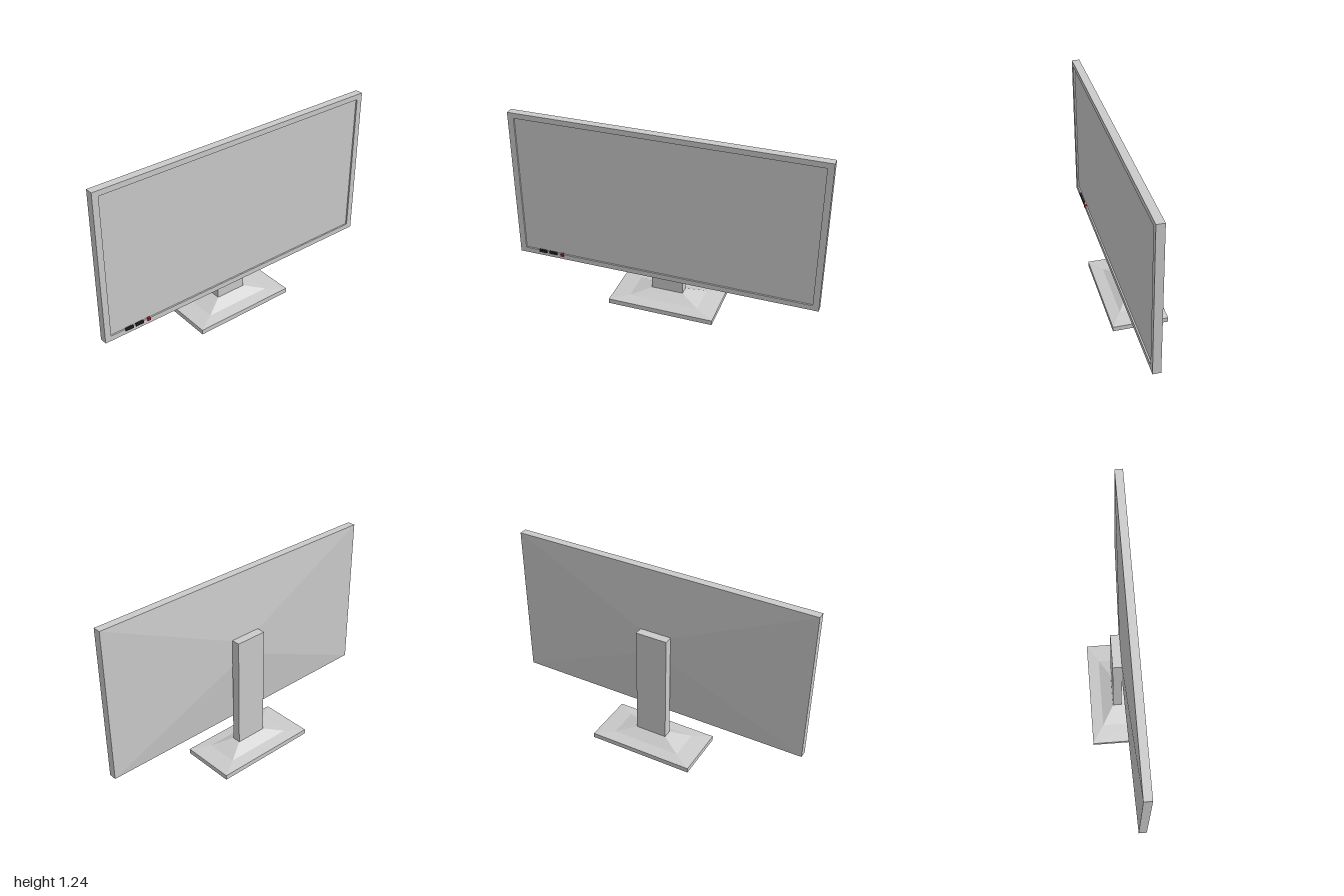
import * as THREE from 'three';

const grey = new THREE.MeshStandardMaterial({ color: 0xcccccc, flatShading: true });
const black = new THREE.MeshStandardMaterial({ color: 0x222222 });
const red = new THREE.MeshStandardMaterial({ color: 0xc01020 });

function add(parent, name, geometry, material, x = 0, y = 0, z = 0) {
  const mesh = new THREE.Mesh(geometry, material);
  mesh.name = name;
  mesh.position.set(x, y, z);
  parent.add(mesh);
  return mesh;
}

// Stack of centred rectangles [halfX, halfZ, y] joined by flat sides, capped at both ends
function rectLoft(rings) {
  const pos = [];
  const idx = [];
  for (const [hx, hz, y] of rings) {
    pos.push(-hx, y, hz, hx, y, hz, hx, y, -hz, -hx, y, -hz);
  }
  for (let r = 0; r < rings.length - 1; r++) {
    for (let i = 0; i < 4; i++) {
      const a = r * 4 + i, b = r * 4 + (i + 1) % 4;
      idx.push(a, b, b + 4, a, b + 4, a + 4);
    }
  }
  const t = (rings.length - 1) * 4;
  idx.push(0, 2, 1, 0, 3, 2, t, t + 1, t + 2, t, t + 2, t + 3);
  const g = new THREE.BufferGeometry();
  g.setAttribute('position', new THREE.Float32BufferAttribute(pos, 3));
  g.setIndex(idx);
  const flat = g.toNonIndexed();
  flat.computeVertexNormals();
  return flat;
}

export function createModel() {
  const model = new THREE.Group();
  model.name = 'monitor';

  // Stand: stepped sloping foot and upright column
  const stand = new THREE.Group();
  stand.name = 'stand';
  model.add(stand);
  add(stand, 'base', rectLoft([
    [0.35, 0.18, 0], [0.35, 0.18, 0.032], [0.23, 0.105, 0.043], [0.105, 0.029, 0.083],
  ]), grey);
  add(stand, 'column', new THREE.BoxGeometry(0.21, 0.745, 0.057), grey, 0, 0.4545, -0.001);

  // Display: bezel ring around a slightly recessed panel
  const display = new THREE.Group();
  display.name = 'display';
  display.position.y = 0.733;
  model.add(display);

  const W = 1, H = 0.505, zBack = 0.065, zFront = 0.116;
  const rect = (path, w, h) => path.moveTo(-w, -h).lineTo(w, -h).lineTo(w, h).lineTo(-w, h).closePath();
  const outline = rect(new THREE.Shape(), W, H);
  outline.holes.push(rect(new THREE.Path(), 0.96, 0.47));
  add(display, 'bezel', new THREE.ExtrudeGeometry(outline, { depth: zFront - zBack, bevelEnabled: false }),
    grey, 0, 0, zBack);
  add(display, 'screen', new THREE.BoxGeometry(1.92, 0.94, 0.04), grey, 0, 0, zBack + 0.021);

  // Tapered rear shell, turned so its small end points backwards
  const shell = rectLoft([[W, H, 0], [0.105, 0.09, 0.039]]);
  shell.rotateX(-Math.PI / 2);
  add(display, 'rearShell', shell, grey, 0, 0, zBack);

  // Control buttons and power light on the lower edge
  for (const x of [-0.835, -0.763]) {
    add(display, 'button', new THREE.BoxGeometry(0.055, 0.018, 0.012), black, x, -0.473, 0.116);
  }
  add(display, 'powerLight', new THREE.BoxGeometry(0.02, 0.018, 0.016), red, -0.698, -0.473, 0.116);

  return model;
}
